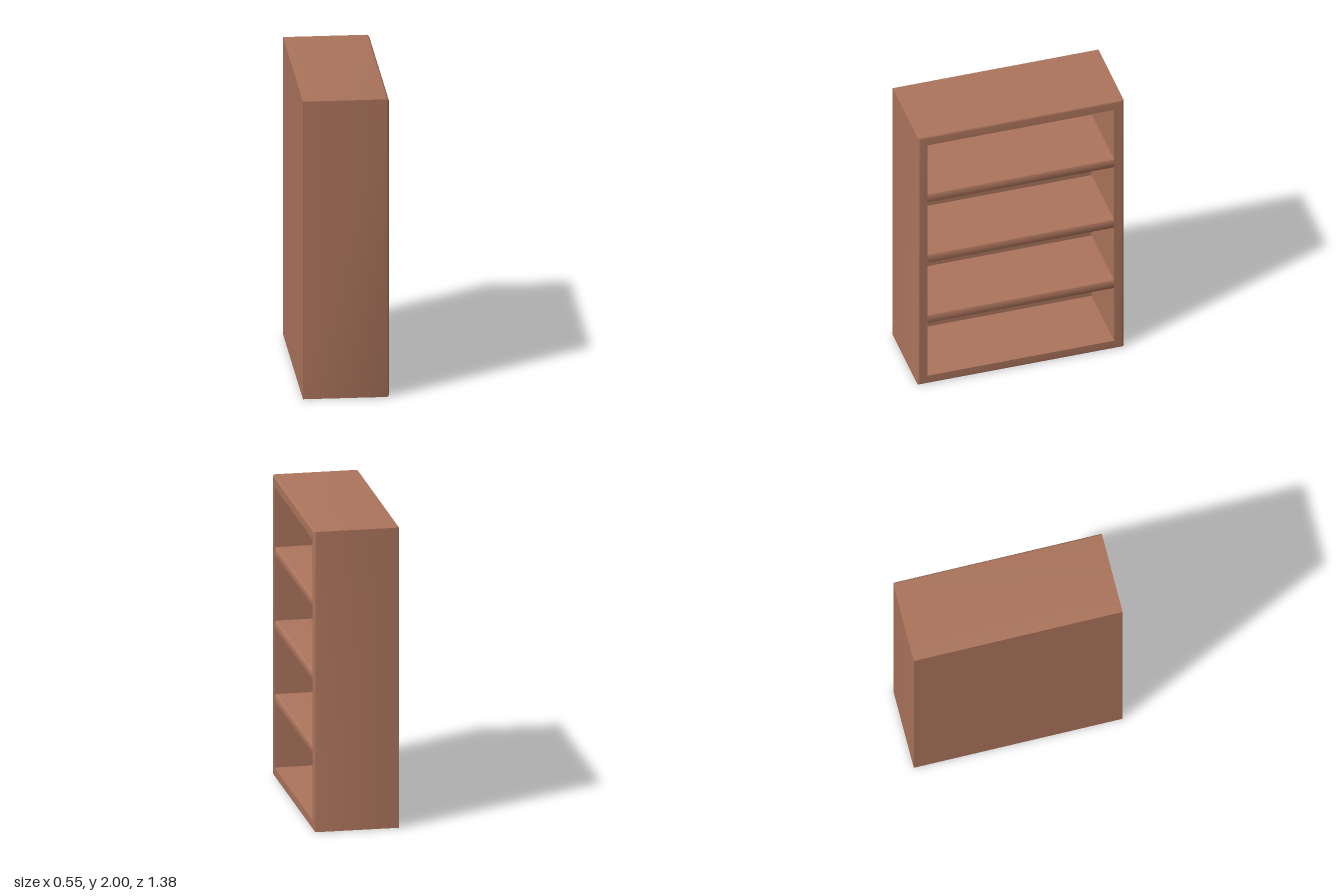
import * as THREE from 'three';
import { toCreasedNormals } from 'three/addons/utils/BufferGeometryUtils.js';

const BACK = -0.277, FRONT = 0.277, HALF_Z = 0.69, HEIGHT = 2;
const WALL = 0.065, BACK_INNER = -0.215;

// Mitred rectangular frame: sweeps a [x, inset] profile round the four corners
function frameGeometry(profile) {
  const corners = [[-1, 0], [1, 0], [1, 1], [-1, 1]];
  const point = ([x, inset], [sz, top]) => [
    x,
    top ? HEIGHT - inset : inset,
    sz * (HALF_Z - inset),
  ];
  const positions = [];
  for (let c = 0; c < 4; c++) {
    for (let i = 0; i < profile.length; i++) {
      const p = profile[i], q = profile[(i + 1) % profile.length];
      const a = point(p, corners[c]), b = point(q, corners[c]);
      const d = point(p, corners[(c + 1) % 4]), e = point(q, corners[(c + 1) % 4]);
      positions.push(...a, ...b, ...e, ...a, ...e, ...d);
    }
  }
  const geometry = new THREE.BufferGeometry();
  geometry.setAttribute('position', new THREE.Float32BufferAttribute(positions, 3));
  return toCreasedNormals(geometry, 0.7);
}

// Quarter-round points from angle a0 to a1
function arc(cx, cy, r, a0, a1, steps = 4) {
  return Array.from({ length: steps + 1 }, (_, i) => {
    const a = a0 + ((a1 - a0) * i) / steps;
    return [cx + r * Math.cos(a), cy + r * Math.sin(a)];
  });
}

export function createModel() {
  const group = new THREE.Group();
  group.name = 'bookcase';
  const wood = new THREE.MeshStandardMaterial({ color: 0xac745c });
  wood.name = 'brown wood';

  const add = (name, geometry, x = 0, y = 0, z = 0) => {
    const mesh = new THREE.Mesh(geometry, wood);
    mesh.name = name;
    mesh.position.set(x, y, z);
    group.add(mesh);
  };

  // Outer case with a rounded outer front edge, open towards +x
  const r = 0.015;
  add('case', frameGeometry([
    [BACK, 0],
    ...arc(FRONT - r, r, r, -Math.PI / 2, 0),
    [FRONT, WALL],
    [BACK, WALL],
  ]));

  // Back panel set flush between the walls
  const innerZ = 2 * (HALF_Z - WALL), innerY = HEIGHT - 2 * WALL;
  add('backPanel', new THREE.BoxGeometry(BACK_INNER - BACK, innerY, innerZ),
    (BACK + BACK_INNER) / 2, HEIGHT / 2, 0);

  // Three shelves with rounded front edges
  const thick = 0.073, sr = 0.016, sx = FRONT - 0.003;
  const profile = [
    [BACK_INNER, -thick / 2],
    ...arc(sx - sr, -thick / 2 + sr, sr, -Math.PI / 2, 0),
    ...arc(sx - sr, thick / 2 - sr, sr, 0, Math.PI / 2),
    [BACK_INNER, thick / 2],
  ].map(([x, y]) => new THREE.Vector2(x, y));
  const shelf = toCreasedNormals(
    new THREE.ExtrudeGeometry(new THREE.Shape(profile), { depth: innerZ, bevelEnabled: false }), 0.7);
  [0.518, 1.007, 1.497].forEach((y, i) => add(`shelf${i + 1}`, shelf, 0, y, -innerZ / 2));

  return group;
}
